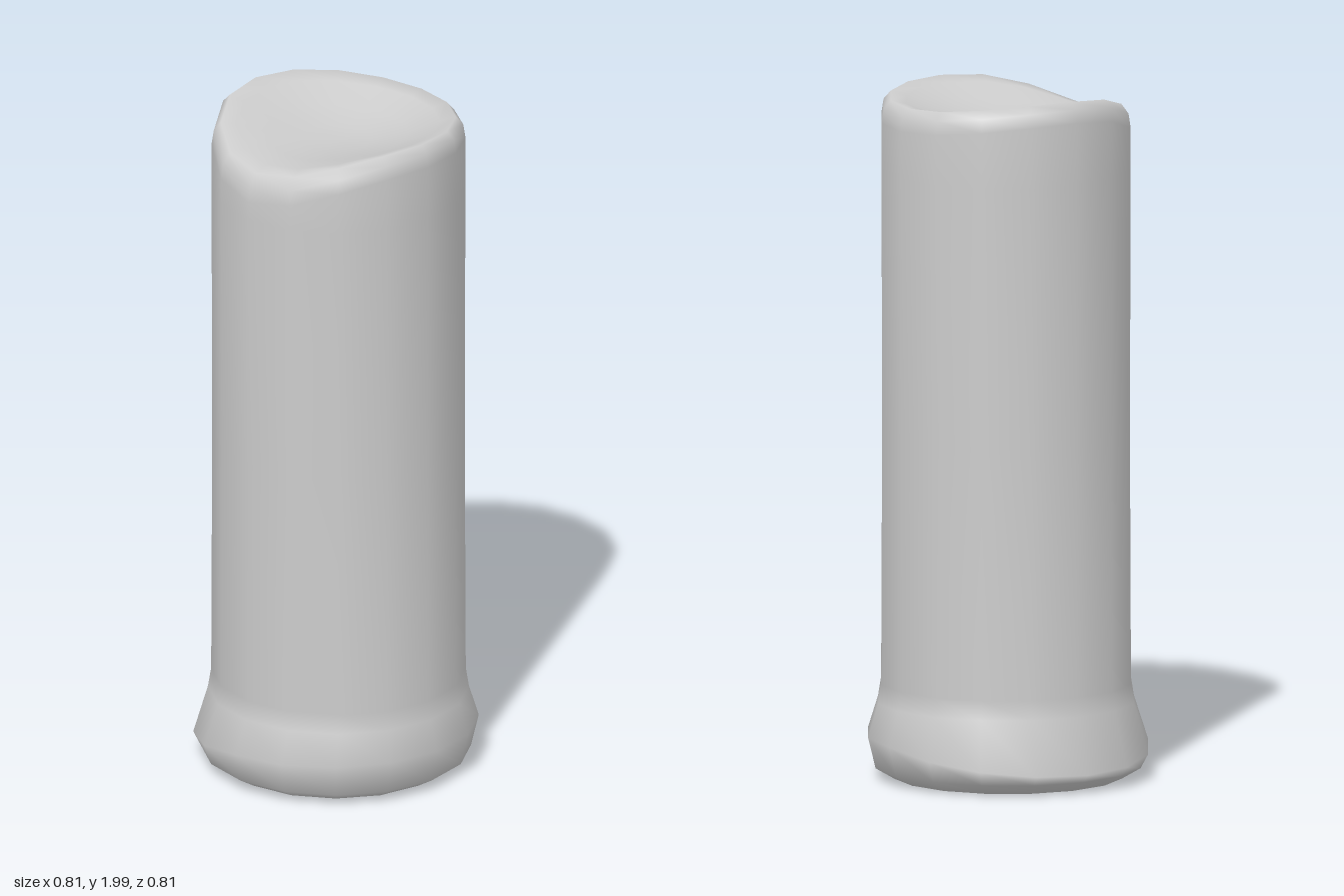
import * as THREE from 'three';
import { mergeVertices } from 'three/addons/utils/BufferGeometryUtils.js';

const SIDES = 16;

// Lathe the [radius, height] profile, bend its vertices by a rule, then smooth across the seam
function softLathe(profile, rule) {
  let geo = new THREE.LatheGeometry(profile.map(([r, y]) => new THREE.Vector2(r, y)), SIDES);
  const p = geo.attributes.position;
  const v = new THREE.Vector3();
  for (let i = 0; i < p.count; i++) {
    rule(v.fromBufferAttribute(p, i));
    p.setXYZ(i, v.x, v.y, v.z);
  }
  geo.deleteAttribute('uv');
  geo.deleteAttribute('normal');
  geo = mergeVertices(geo, 1e-4);
  geo.computeVertexNormals();
  return geo;
}

export function createModel() {
  const group = new THREE.Group();
  group.name = 'candle';
  const material = new THREE.MeshStandardMaterial({ color: 0xcccccc });

  // Underside, swollen foot, straight shaft, rounded rim and melted hollow
  const profile = [
    [0, 0.01], [0.2, 0.01], [0.33, 0.008], [0.385, 0.04], [0.407, 0.125],
    [0.372, 0.225], [0.363, 0.28], [0.36, 1.0], [0.362, 1.76], [0.362, 1.9],
    [0.356, 1.94], [0.335, 1.965], [0.29, 1.955], [0.2, 1.925], [0.1, 1.908], [0, 1.903],
  ];

  const body = softLathe(profile, (v) => {
    const y = v.y;
    const nx = v.x / 0.36;
    const nz = v.z / 0.36;
    if (y > 1.8) {
      // Uneven melt: high at the back, a little lower in front, sagging on the right
      const sag = Math.max(0, -nx);
      v.y += (nz < 0 ? 0.04 : 0.022) * nz * nz - 0.085 * sag * sag * sag;
    }
    // The bulge of the foot sits lower at the back
    if (y > 0.1 && y < 0.2) v.y += nz < 0 ? 0.055 * nz : 0.01 * nz;
    // The shaft leans slightly to the front
    if (y > 0.2) v.z += 0.01;
  });

  const mesh = new THREE.Mesh(body, material);
  mesh.name = 'waxBody';
  group.add(mesh);
  return group;
}
